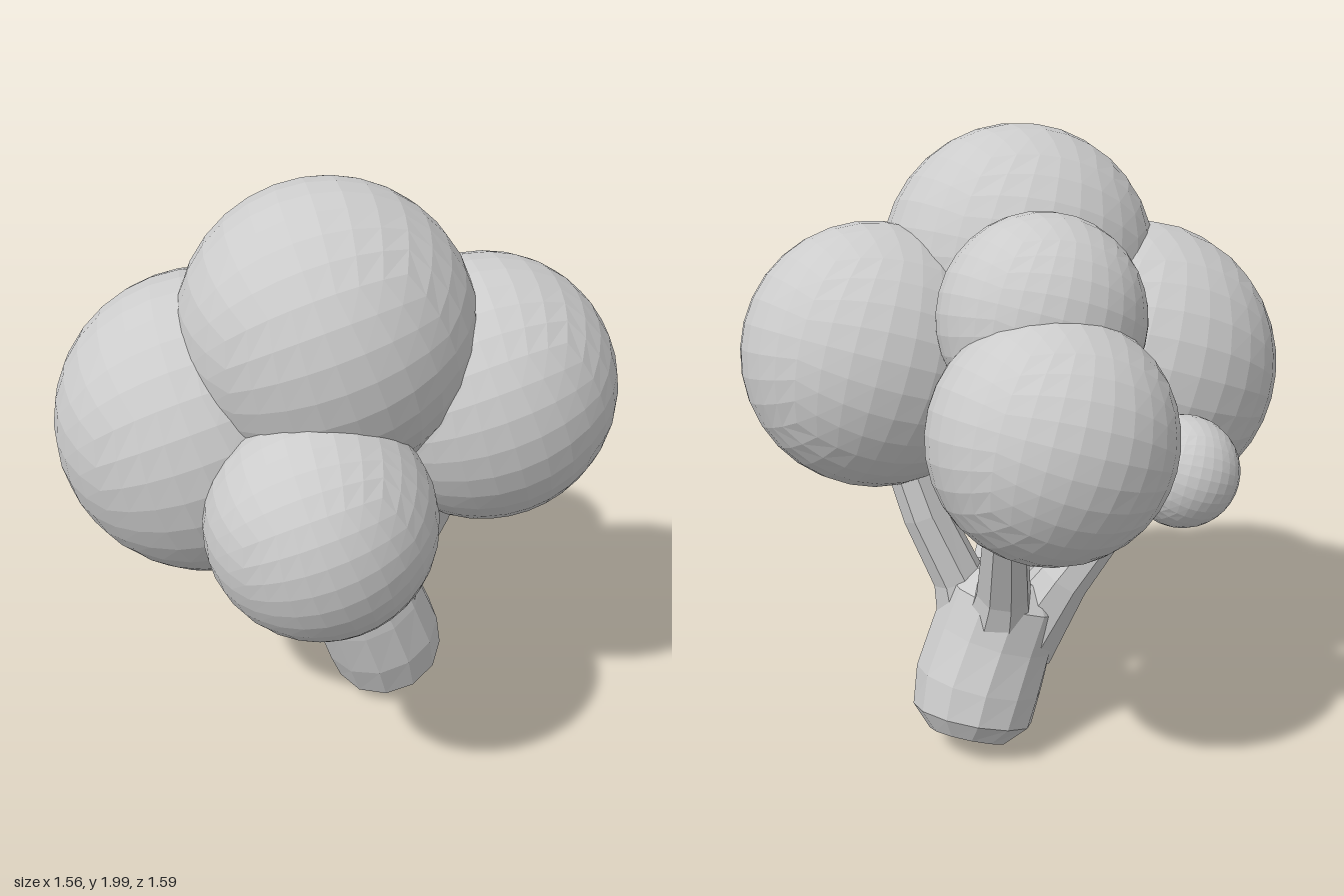
import * as THREE from 'three';

const material = new THREE.MeshStandardMaterial({ color: 0xcccccc, flatShading: true });

// Round floret: a subdivided cube pushed out to a sphere
function floret(x, y, z, radius) {
  const geo = new THREE.BoxGeometry(1, 1, 1, 8, 8, 8);
  const pos = geo.attributes.position;
  const v = new THREE.Vector3();
  for (let i = 0; i < pos.count; i++) {
    v.fromBufferAttribute(pos, i);
    // tangent spacing keeps the facets even
    v.set(Math.tan(v.x * Math.PI / 2), Math.tan(v.y * Math.PI / 2), Math.tan(v.z * Math.PI / 2));
    v.setLength(radius);
    pos.setXYZ(i, v.x, v.y, v.z);
  }
  geo.computeVertexNormals();
  const mesh = new THREE.Mesh(geo, material);
  mesh.position.set(x, y, z);
  mesh.rotation.set(0.25, Math.PI / 4, 0.15);
  return mesh;
}

// Capped stalk from round sections [x, y, z, radius]; rings face along the path
function stalk(sections, sides) {
  const points = sections.map(s => new THREE.Vector3(s[0], s[1], s[2]));
  const last = points.length - 1;
  const positions = [];
  const indices = [];
  points.forEach((p, i) => {
    const dir = points[Math.min(i + 1, last)].clone().sub(points[Math.max(i - 1, 0)]).normalize();
    const side = new THREE.Vector3(0, 0, 1).cross(dir).normalize();
    const front = new THREE.Vector3().crossVectors(dir, side);
    for (let j = 0; j < sides; j++) {
      const a = j / sides * Math.PI * 2;
      const q = p.clone()
        .addScaledVector(side, Math.cos(a) * sections[i][3])
        .addScaledVector(front, Math.sin(a) * sections[i][3]);
      positions.push(q.x, q.y, q.z);
    }
  });
  for (let i = 0; i < last; i++) {
    for (let j = 0; j < sides; j++) {
      const k = (j + 1) % sides;
      const a = i * sides + j, b = i * sides + k;
      indices.push(a, b, b + sides, a, b + sides, a + sides);
    }
  }
  // End caps
  for (let j = 1; j < sides - 1; j++) {
    const t = last * sides;
    indices.push(0, j + 1, j, t, t + j, t + j + 1);
  }
  const geo = new THREE.BufferGeometry();
  geo.setAttribute('position', new THREE.Float32BufferAttribute(positions, 3));
  geo.setIndex(indices);
  geo.computeVertexNormals();
  return new THREE.Mesh(geo, material);
}

export function createModel() {
  const model = new THREE.Group();
  const add = (name, mesh) => {
    mesh.name = name;
    model.add(mesh);
  };

  // Leaning trunk with a bevelled, slanted cut at the bottom
  add('trunk', stalk([
    [0.03, 0.07, -0.285, 0.13],
    [0.03, 0.135, -0.25, 0.2],
    [0.025, 0.25, -0.21, 0.212],
    [0.0, 0.4, -0.155, 0.205],
    [-0.035, 0.54, -0.115, 0.2],
    [-0.045, 0.61, -0.1, 0.13],
  ], 12));

  // Branches flare out of the trunk and end inside the florets
  const branches = {
    frontBranch: [[0.03, 0.38, -0.12, 0.12], [0.07, 0.6, 0.05, 0.088], [0.1, 0.85, 0.2, 0.075], [0.15, 1.0, 0.3, 0.07]],
    rightBranch: [[-0.08, 0.38, -0.13, 0.13], [-0.22, 0.62, -0.09, 0.09], [-0.36, 0.84, 0.01, 0.07], [-0.42, 0.96, 0.07, 0.065]],
    backBranch: [[-0.02, 0.38, -0.18, 0.13], [-0.09, 0.62, -0.26, 0.088], [-0.15, 0.86, -0.37, 0.07], [-0.2, 1.0, -0.42, 0.065]],
    leftBranch: [[0.06, 0.38, -0.16, 0.13], [0.11, 0.6, -0.19, 0.085], [0.2, 0.82, -0.23, 0.077], [0.27, 1.02, -0.24, 0.07]],
  };
  for (const [name, sections] of Object.entries(branches)) add(name, stalk(sections, 8));

  // Florets: x, y, z, radius
  const florets = {
    topFloret: [0.06, 1.565, 0.16, 0.437],
    frontRightFloret: [-0.285, 1.235, 0.305, 0.467],
    frontLeftFloret: [0.25, 1.13, 0.46, 0.333],
    leftFloret: [0.37, 1.32, -0.225, 0.412],
    backFloret: [-0.33, 1.22, -0.443, 0.354],
    upperBackFloret: [-0.21, 1.503, -0.253, 0.304],
    smallRightFloret: [-0.613, 1.067, -0.14, 0.167],
  };
  for (const [name, [x, y, z, r]] of Object.entries(florets)) add(name, floret(x, y, z, r));

  return model;
}
